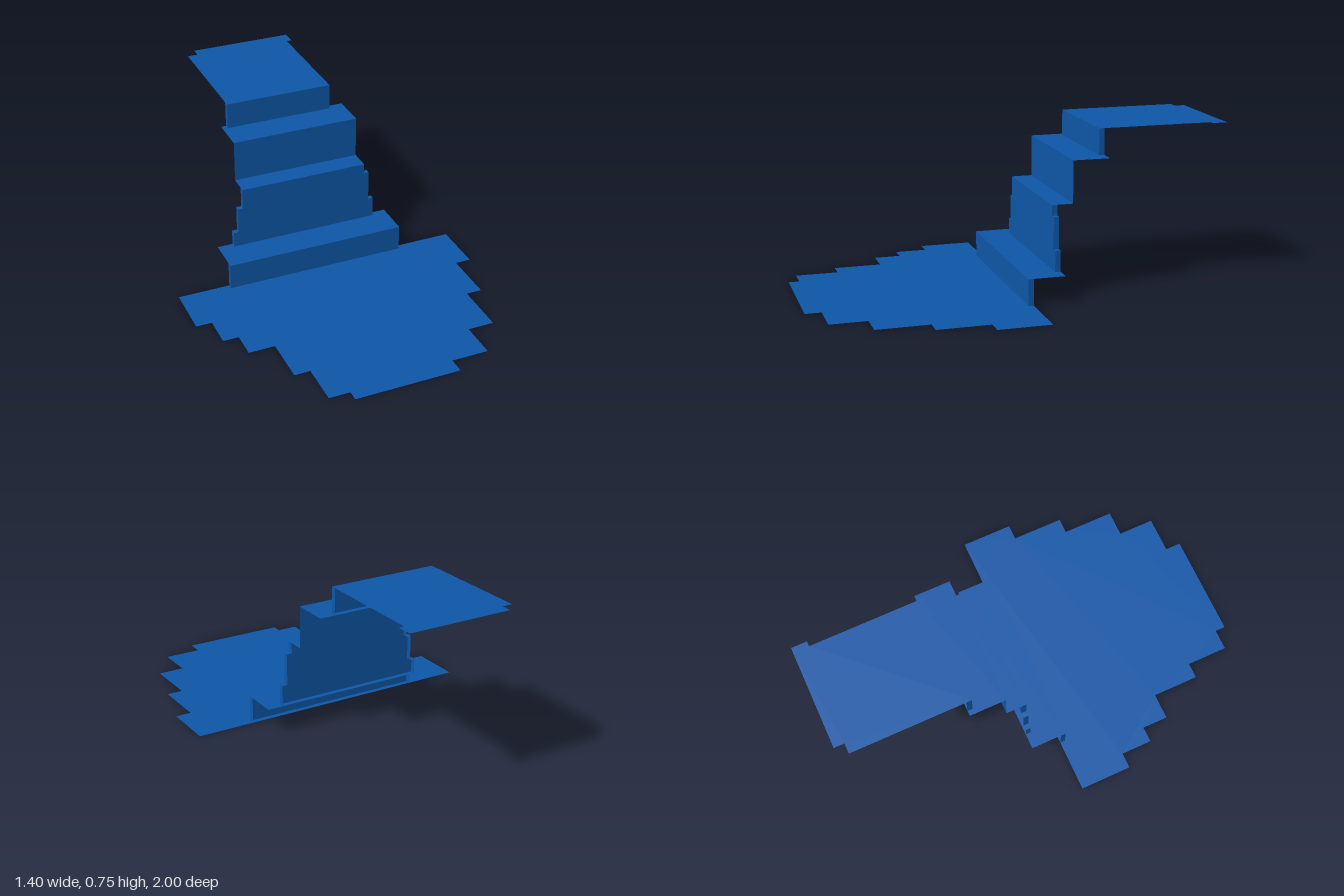
import * as THREE from 'three';

const LIP = 0.025; // depth of the side returns on the falls

// Outline climbing from v0: each step is [half-edge x, v where that edge ends].
function steppedPoints(v0, left, right) {
  const side = (steps) => {
    const pts = [];
    let v = v0;
    for (const [x, end] of steps) {
      pts.push(new THREE.Vector2(x, v), new THREE.Vector2(x, end));
      v = end;
    }
    return pts;
  };
  return { left: side(left), right: side(right) };
}

function outlineGeometry({ left, right }) {
  return new THREE.ShapeGeometry(new THREE.Shape([...right, ...left.slice().reverse()]));
}

export function createModel() {
  const model = new THREE.Group();
  model.name = 'steppedWaterfall';
  const water = new THREE.MeshStandardMaterial({ color: 0x0d56a6, side: THREE.DoubleSide });
  water.name = 'waterBlue';

  const add = (parent, name, geometry) => {
    const mesh = new THREE.Mesh(geometry, water);
    mesh.name = name;
    parent.add(mesh);
    return mesh;
  };

  // Flat sheet of water; outline runs along z.
  function sheet(name, y, z0, left, right) {
    const geometry = outlineGeometry(steppedPoints(z0, left, right));
    geometry.rotateX(Math.PI / 2); // outline v becomes +z
    // reverse the faces so that they look up
    const index = geometry.index.array;
    for (let i = 0; i < index.length; i += 3) [index[i], index[i + 1]] = [index[i + 1], index[i]];
    geometry.computeVertexNormals();
    add(model, name, geometry).position.y = y;
  }

  // Vertical fall facing +z, with optional thin returns along its stepped sides.
  function fall(name, z, y0, left, right, returns = true) {
    const group = new THREE.Group();
    group.name = name;
    group.position.z = z;
    model.add(group);
    const points = steppedPoints(y0, left, right);
    add(group, name + 'Face', outlineGeometry(points));
    if (!returns) return;
    for (const [side, sign] of [[points.left, -1], [points.right, 1]]) {
      for (let i = 0; i + 1 < side.length; i++) {
        const a = side[i], b = side[i + 1];
        const strip = new THREE.PlaneGeometry(a.distanceTo(b), LIP);
        strip.rotateX(sign * Math.PI / 2);
        strip.rotateZ(Math.atan2(b.y - a.y, b.x - a.x));
        strip.translate((a.x + b.x) / 2, (a.y + b.y) / 2, -LIP / 2);
        add(group, name + 'Return', strip);
      }
    }
  }

  // Pool at the foot, with a ragged stepped edge
  sheet('pool', 0, 0,
    [[-0.7, 0.25], [-0.625, 0.4], [-0.55, 0.525], [-0.425, 0.75], [-0.35, 0.95], [-0.25, 1]],
    [[0.7, 0.25], [0.625, 0.5], [0.55, 0.75], [0.425, 0.925], [0.25, 1]]);

  // Falls and ledges, bottom to top
  fall('lowestFall', 0.025, 0, [[-0.45, 0.125]], [[0.425, 0.125]]);
  sheet('lowestLedge', 0.125, -0.15, [[-0.45, 0.025]], [[0.425, 0.025]]);

  fall('tallFall', -0.125, 0.125,
    [[-0.375, 0.2], [-0.35, 0.325], [-0.325, 0.425]],
    [[0.35, 0.225], [0.325, 0.375], [0.3, 0.425]]);
  sheet('middleLedge', 0.425, -0.225, [[-0.325, -0.125]], [[0.3, -0.125]]);

  fall('upperFall', -0.225, 0.425, [[-0.325, 0.625]], [[0.3, 0.625]], false);
  sheet('upperLedge', 0.625, -0.4, [[-0.325, -0.225]], [[0.3, -0.225]]);

  fall('topFall', -0.375, 0.625, [[-0.3, 0.75]], [[0.225, 0.75]]);

  // Stream feeding the falls
  sheet('topStream', 0.75, -1,
    [[-0.25, -0.95], [-0.3, -0.375]],
    [[0.25, -0.925], [0.225, -0.375]]);

  return model;
}
